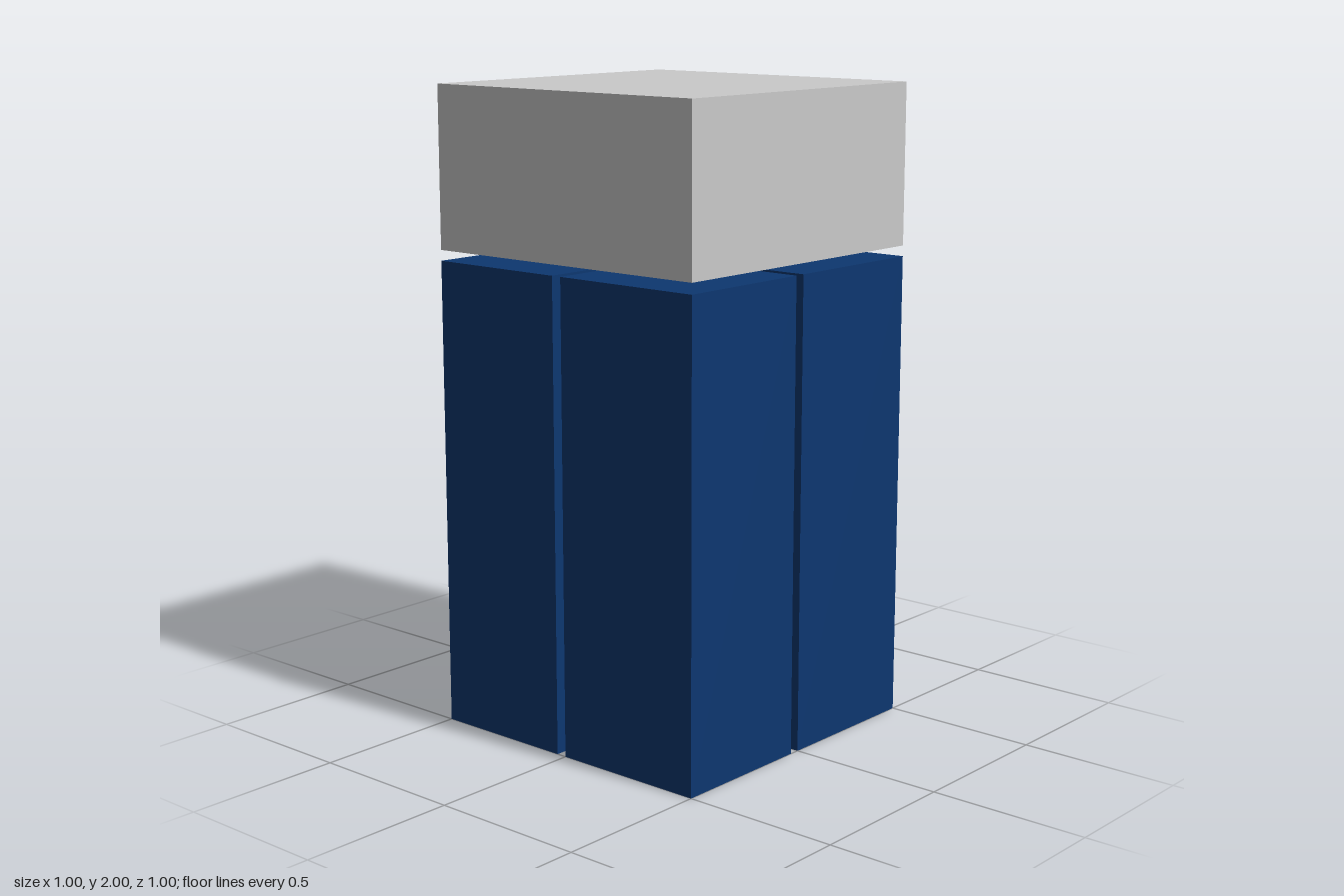
import * as THREE from 'three';

export function createModel() {
  const model = new THREE.Group();
  const blue = new THREE.MeshStandardMaterial({ color: 0x0d3770 });
  blue.name = 'navy blue';
  const grey = new THREE.MeshStandardMaterial({ color: 0xcacaca });
  grey.name = 'light grey';

  const gap = 0.033;

  // Box given by its low and high corner along each axis
  function addBox(name, material, [x0, x1], [y0, y1], [z0, z1]) {
    const mesh = new THREE.Mesh(new THREE.BoxGeometry(x1 - x0, y1 - y0, z1 - z0), material);
    mesh.position.set((x0 + x1) / 2, (y0 + y1) / 2, (z0 + z1) / 2);
    mesh.name = name;
    model.add(mesh);
  }

  // Four posts, separated by narrow slots just off the centre
  const xSpans = { right: [-0.5, -gap], left: [0, 0.5] };
  const zSpans = { Front: [gap, 0.5], Back: [-0.5, 0] };
  for (const [side, xs] of Object.entries(xSpans)) {
    for (const [end, zs] of Object.entries(zSpans)) {
      addBox(`${side}${end}Post`, blue, xs, [0, 1.5 - gap], zs);
    }
  }

  // Cap block floating just above the posts
  addBox('capBlock', grey, [-0.5, 0.5], [1.5, 2], [-0.5, 0.5]);

  return model;
}
